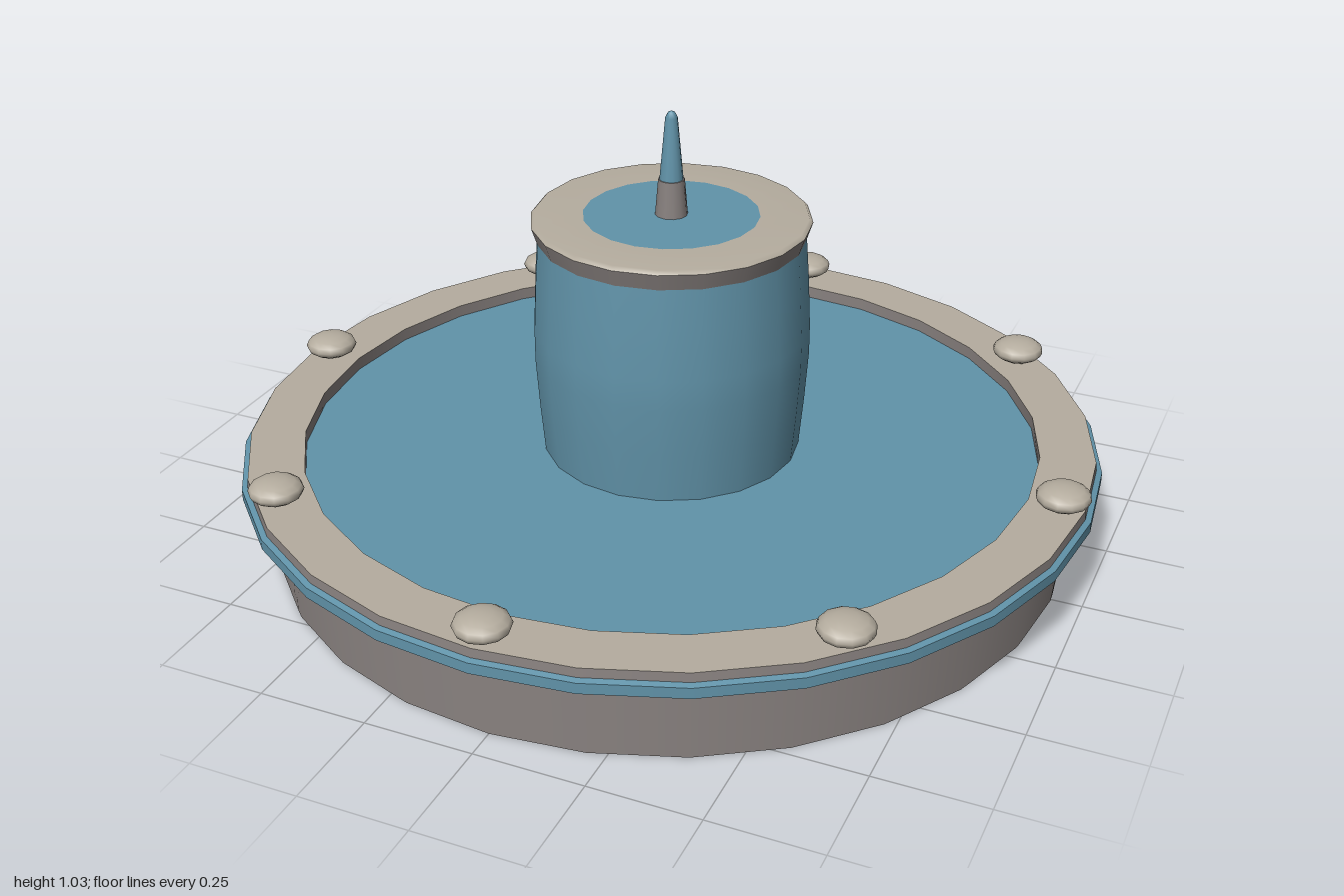
import * as THREE from 'three';

const mat = (name, color) => new THREE.MeshStandardMaterial({ name, color });

export function createModel() {
  const group = new THREE.Group();
  const blue = mat('blue', 0x6193a9);
  const beige = mat('beige', 0xb5ad9f);
  const grey = mat('grey', 0x88817f);
  const khaki = mat('khaki grey', 0x9d9987);
  const SIDES = 28;

  const add = (name, geometry, material) => {
    const mesh = new THREE.Mesh(geometry, material);
    mesh.name = name;
    group.add(mesh);
    return mesh;
  };
  // Profile points are [radius, height]; outside faces run upwards
  const lathe = (name, points, sides, material) =>
    add(name, new THREE.LatheGeometry(points.map(p => new THREE.Vector2(...p)), sides), material);

  // Part of the tapered base wall, its ends leaning by height
  const wall = (name, bottom, top, material) => {
    const geo = new THREE.PlaneGeometry(1, 1, 112, 4);
    const pos = geo.attributes.position, nor = geo.attributes.normal;
    const step = 2 * Math.PI / SIDES;
    for (let i = 0; i < pos.count; i++) {
      const u = pos.getX(i) + 0.5, v = pos.getY(i) + 0.5;
      const from = THREE.MathUtils.lerp(bottom[0], top[0], v);
      const to = THREE.MathUtils.lerp(bottom[1], top[1], v);
      const a = THREE.MathUtils.degToRad(from + (to - from) * u);
      const off = a - (Math.floor(a / step) + 0.5) * step;
      const r = (0.93 + 0.013 * v) * Math.cos(step / 2) / Math.cos(off);
      pos.setXYZ(i, r * Math.sin(a), 0.175 * v, r * Math.cos(a));
      nor.setXYZ(i, Math.sin(a), 0, Math.cos(a));
    }
    add(name, geo, material);
  };

  // Base
  wall('baseWall', [-53, 152], [-46.5, 145.5], grey);
  wall('baseWallPatch', [152, 307], [145.5, 313.5], khaki);
  lathe('baseBottom', [[0, 0], [0.93, 0]], SIDES, grey);

  // Flange with its blue band and raised ring
  lathe('flangeUnderside', [[0.943, 0.175], [0.975, 0.193]], SIDES, grey);
  lathe('bandUnderside', [[0.975, 0.193], [1, 0.195]], SIDES, blue);
  lathe('band', [[1, 0.195], [1, 0.22]], SIDES, blue);
  lathe('bandTop', [[1, 0.22], [0.987, 0.224]], SIDES, blue);
  lathe('ringSide', [[0.987, 0.224], [0.985, 0.245]], SIDES, grey);
  lathe('ringTop', [[0.985, 0.245], [0.858, 0.245]], SIDES, beige);
  lathe('ringInside', [[0.858, 0.245], [0.858, 0.215]], SIDES, grey);
  lathe('deck', [[0.858, 0.215], [0, 0.215]], SIDES, blue);

  // Central drum
  lathe('drum', [[0.3, 0.215], [0.31, 0.33], [0.318, 0.45], [0.318, 0.52], [0.312, 0.64], [0.305, 0.735]], 20, blue);
  lathe('drumCollar', [[0.305, 0.735], [0.318, 0.775]], 20, grey);
  lathe('drumRim', [[0.318, 0.775], [0.31, 0.784], [0.2, 0.784]], 20, beige);
  lathe('drumCap', [[0.2, 0.784], [0, 0.784]], 20, blue);

  // Pin
  lathe('pinSocket', [[0.037, 0.784], [0.03, 0.868]], 12, grey);
  lathe('pinSocketTop', [[0.03, 0.868], [0.02, 0.868]], 12, grey);
  lathe('pin', [[0.027, 0.868], [0.014, 1.012], [0.008, 1.024], [0, 1.028]], 12, blue);

  // Eight flattened studs on the ring
  const stud = new THREE.SphereGeometry(0.062, 12, 8).scale(1, 0.45, 1);
  for (let i = 0; i < 8; i++) {
    const a = i * Math.PI / 4;
    add('stud', stud, beige).position.set(0.935 * Math.sin(a), 0.271, 0.935 * Math.cos(a));
  }
  return group;
}
